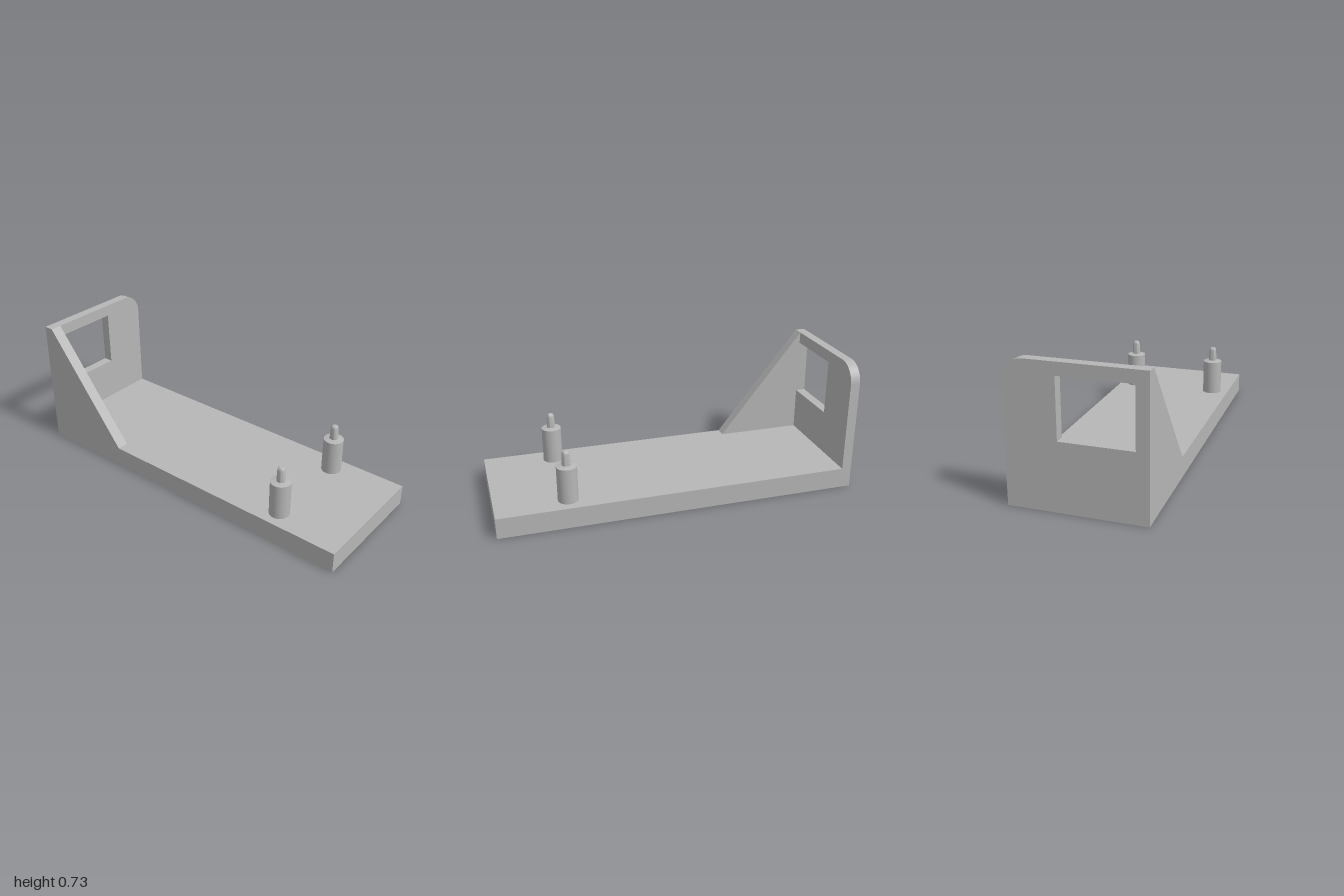
import * as THREE from 'three';
import { toCreasedNormals } from 'three/addons/utils/BufferGeometryUtils.js';

const HALF_DEPTH = 0.352, BASE_TOP = 0.115, WALL_TOP = 0.733, WALL_INNER = -0.945;
const WINDOW_EDGE = 0.287; // shared by the window and the gusset's inner face

export function createModel() {
  const group = new THREE.Group();
  const grey = new THREE.MeshStandardMaterial({ color: 0xb6b6b6 });
  grey.name = 'plain grey';

  const add = (name, geometry, x = 0, y = 0, z = 0) => {
    const mesh = new THREE.Mesh(geometry, grey);
    mesh.name = name;
    mesh.position.set(x, y, z);
    group.add(mesh);
  };

  // Base plate, meeting the inner face of the wall
  const length = 1 - WALL_INNER;
  add('basePlate', new THREE.BoxGeometry(length, BASE_TOP, 2 * HALF_DEPTH),
    WALL_INNER + length / 2, BASE_TOP / 2, 0);

  // End wall with one rounded top corner and a window, drawn in z and y
  const r = 0.112;
  const wall = new THREE.Shape();
  wall.moveTo(-HALF_DEPTH, 0);
  wall.lineTo(HALF_DEPTH, 0);
  wall.lineTo(HALF_DEPTH, WALL_TOP);
  wall.lineTo(-HALF_DEPTH + r, WALL_TOP);
  wall.absarc(-HALF_DEPTH + r, WALL_TOP - r, r, Math.PI / 2, Math.PI, false);
  wall.closePath();
  wall.holes.push(new THREE.Path([
    [-0.087, 0.357], [-0.087, 0.668], [WINDOW_EDGE, 0.668], [WINDOW_EDGE, 0.357],
  ].map(([z, y]) => new THREE.Vector2(z, y))));
  const wallGeometry = new THREE.ExtrudeGeometry(wall,
    { depth: 1 + WALL_INNER, bevelEnabled: false, curveSegments: 20 });
  wallGeometry.rotateY(-Math.PI / 2);
  add('endWall', toCreasedNormals(wallGeometry, 0.5), WALL_INNER, 0, 0);

  // Triangular gusset along the front edge
  const gusset = new THREE.Shape([
    [WALL_INNER, BASE_TOP], [-0.457, BASE_TOP], [WALL_INNER, WALL_TOP],
  ].map(([x, y]) => new THREE.Vector2(x, y)));
  add('gusset', new THREE.ExtrudeGeometry(gusset,
    { depth: HALF_DEPTH - WINDOW_EDGE, bevelEnabled: false }), 0, 0, WINDOW_EDGE);

  // Two posts: a cylinder, a shallow conical shoulder and a tapered round-ended pin
  const profile = [
    [0.055, 0], [0.055, 0.198], [0.0235, 0.204], [0.0205, 0.267],
    [0.0185, 0.276], [0.0145, 0.282], [0.008, 0.285], [0, 0.285],
  ].map(([x, y]) => new THREE.Vector2(x, y));
  const postGeometry = toCreasedNormals(new THREE.LatheGeometry(profile, 32), 0.65);
  for (const side of [1, -1]) {
    add(side > 0 ? 'frontPost' : 'backPost', postGeometry, 0.61, BASE_TOP, side * 0.252);
  }

  return group;
}
